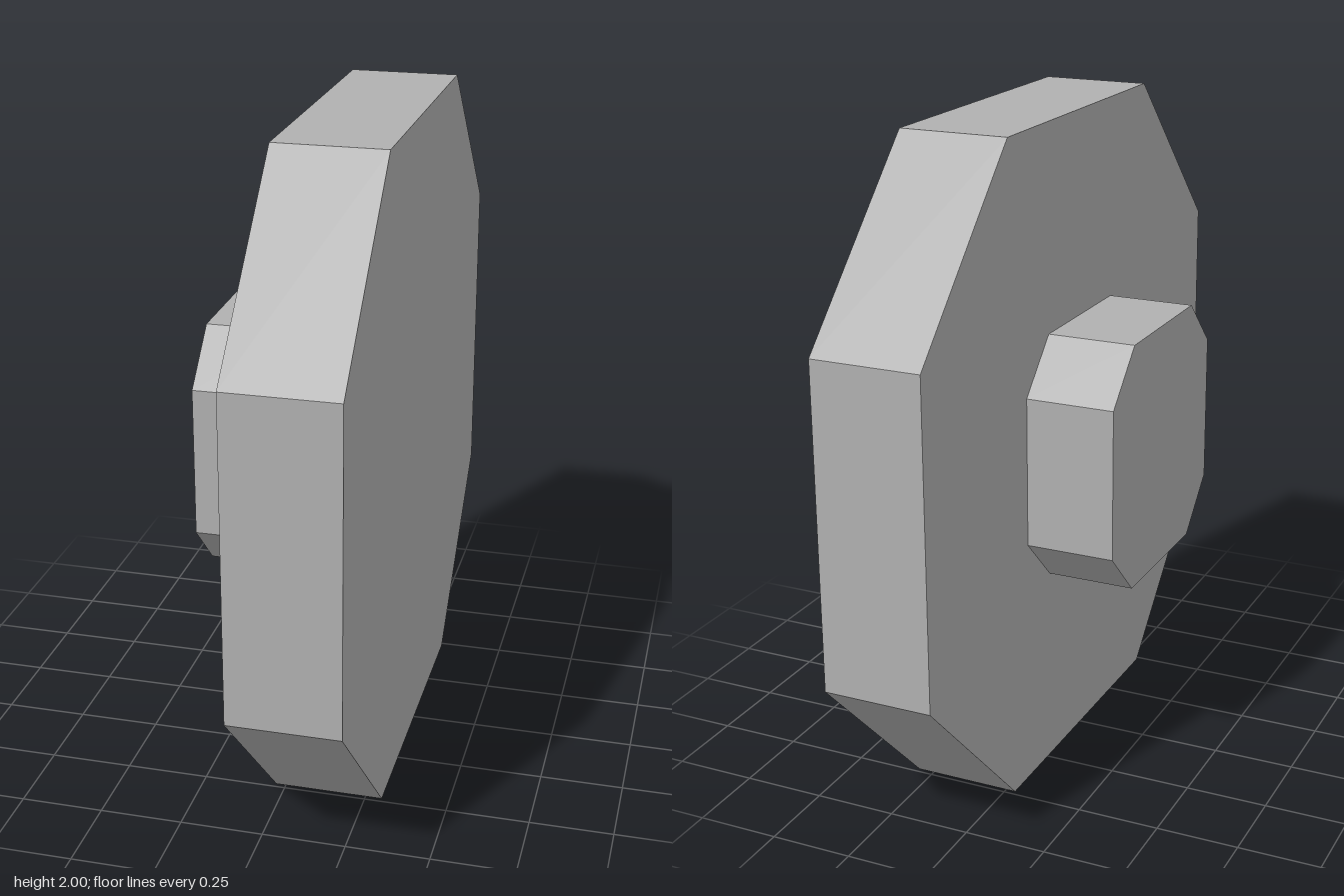
import * as THREE from 'three';

// Octagonal plate facing x: half = half width, flat = half length of the upright and level edges
function octagonPlate(name, half, flat, x0, x1, material) {
  const corners = [
    [half, -flat], [half, flat], [flat, half], [-flat, half],
    [-half, flat], [-half, -flat], [-flat, -half], [flat, -half],
  ].map(([x, y]) => new THREE.Vector2(x, y));
  const geometry = new THREE.ExtrudeGeometry(new THREE.Shape(corners), {
    depth: x1 - x0,
    bevelEnabled: false,
  });
  geometry.rotateY(Math.PI / 2); // extrusion now runs along +x
  const mesh = new THREE.Mesh(geometry, material);
  mesh.name = name;
  mesh.position.set(x0, 1, 0);
  return mesh;
}

export function createModel() {
  const group = new THREE.Group();
  group.name = 'octagonalWheel';
  const grey = new THREE.MeshStandardMaterial({ color: 0xb0b0b0, flatShading: true });
  grey.name = 'grey';

  // Large disc on the left, small hub on the right
  group.add(octagonPlate('disc', 1, 0.485, -0.03, 0.3, grey));
  group.add(octagonPlate('hub', 0.38, 0.228, -0.3, -0.03, grey));
  return group;
}
